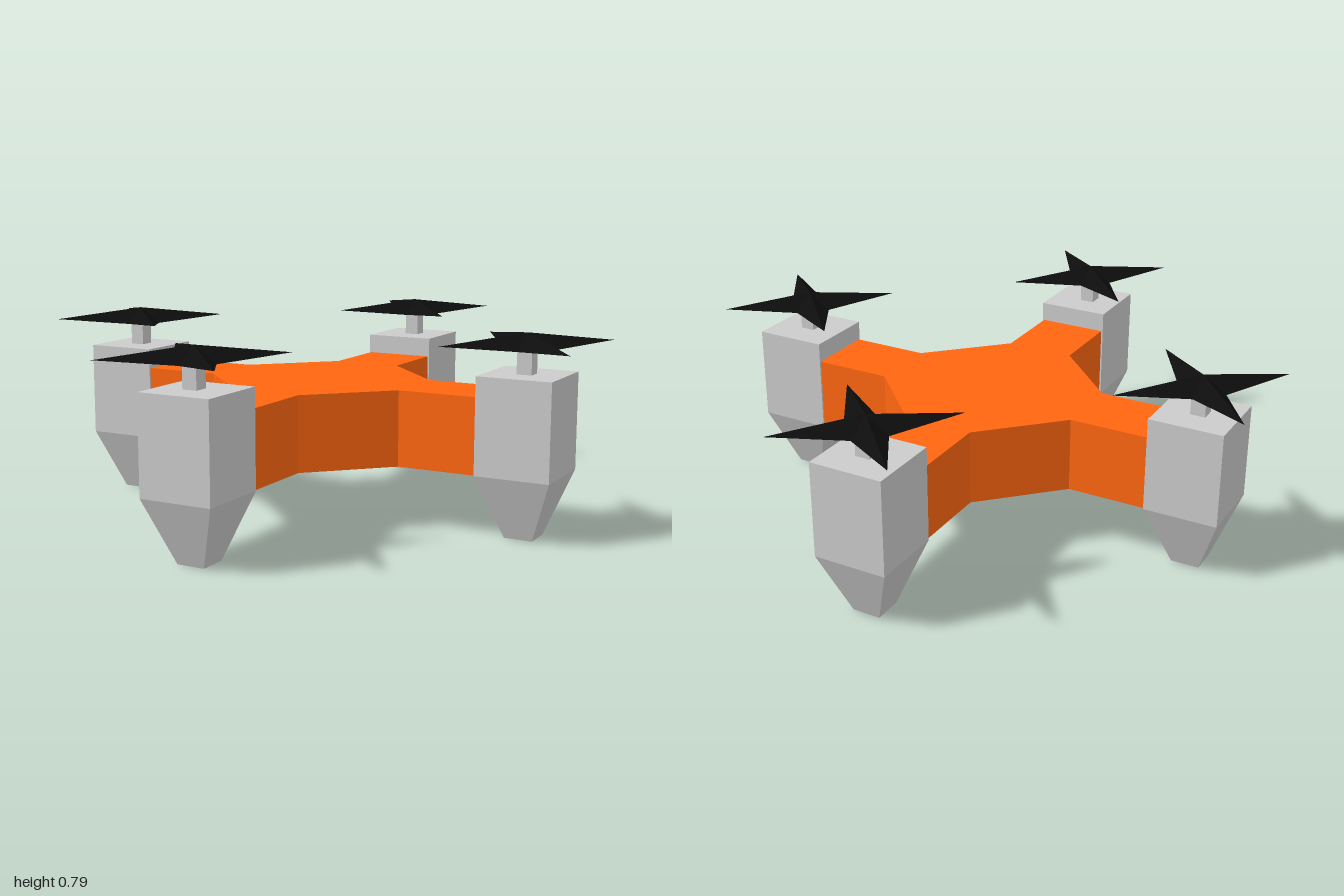
import * as THREE from 'three';

const paint = (color) => new THREE.MeshStandardMaterial({ color, flatShading: true });

function part(name, geometry, material) {
  const mesh = new THREE.Mesh(geometry, material);
  mesh.name = name;
  return mesh;
}

// Cross-shaped plate: a square hub with four diagonal arms
function bodyGeometry() {
  const corner = [[0.4, 0.2], [0.625, 0.425], [0.425, 0.625], [0.2, 0.4]];
  const points = [];
  for (let q = 0; q < 4; q++) {
    for (const [x, y] of corner) {
      points.push(new THREE.Vector2(x, y).rotateAround(new THREE.Vector2(), q * Math.PI / 2));
    }
  }
  const geometry = new THREE.ExtrudeGeometry(new THREE.Shape(points), { depth: 0.3, bevelEnabled: false });
  return geometry.rotateX(-Math.PI / 2).translate(0, 0.25, 0);
}

// Four-pointed star with a raised centre, drooping between the blades
function rotorGeometry() {
  const rim = [];
  for (let i = 0; i < 8; i++) {
    const a = i * Math.PI / 4;
    const tip = i % 2 === 0;
    const r = tip ? 0.357 : 0.095;
    rim.push([r * Math.sin(a), tip ? 0.746 : 0.724, r * Math.cos(a)]);
  }
  const positions = [];
  rim.forEach((p, i) => {
    const next = rim[(i + 1) % 8];
    positions.push(0, 0.787, 0, ...p, ...next);
    positions.push(0, 0.722, 0, ...next, ...p);
  });
  const geometry = new THREE.BufferGeometry();
  geometry.setAttribute('position', new THREE.Float32BufferAttribute(positions, 3));
  geometry.computeVertexNormals();
  return geometry;
}

export function createModel() {
  const model = new THREE.Group();
  model.name = 'quadcopter';

  const grey = paint(0xcccccc);
  const orange = paint(0xff6610);
  const black = paint(0x0d0d0d);

  model.add(part('body', bodyGeometry(), orange));

  // Square motor leg, tapering to a small foot
  const legProfile = [[0, 0], [0.08, 0], [0.21, 0.25], [0.21, 0.63], [0, 0.63]];
  const leg = new THREE.LatheGeometry(legProfile.map(([r, y]) => new THREE.Vector2(r, y)), 4);
  const shaft = new THREE.CylinderGeometry(0.042, 0.042, 0.13, 4).translate(0, 0.685, 0);
  const rotor = rotorGeometry();

  // One motor unit at the end of each arm
  const units = [
    ['frontLeft', 0.626, 0.631],
    ['frontRight', -0.637, 0.62],
    ['backLeft', 0.634, -0.628],
    ['backRight', -0.629, -0.634],
  ];
  for (const [name, x, z] of units) {
    const unit = new THREE.Group();
    unit.name = name + 'Motor';
    const legMesh = part('leg', leg, grey);
    legMesh.position.set(Math.sign(x) * 0.63 - x, 0, Math.sign(z) * 0.63 - z);
    unit.add(legMesh, part('shaft', shaft, grey), part('rotor', rotor, black));
    unit.position.set(x, 0, z);
    model.add(unit);
  }
  return model;
}
